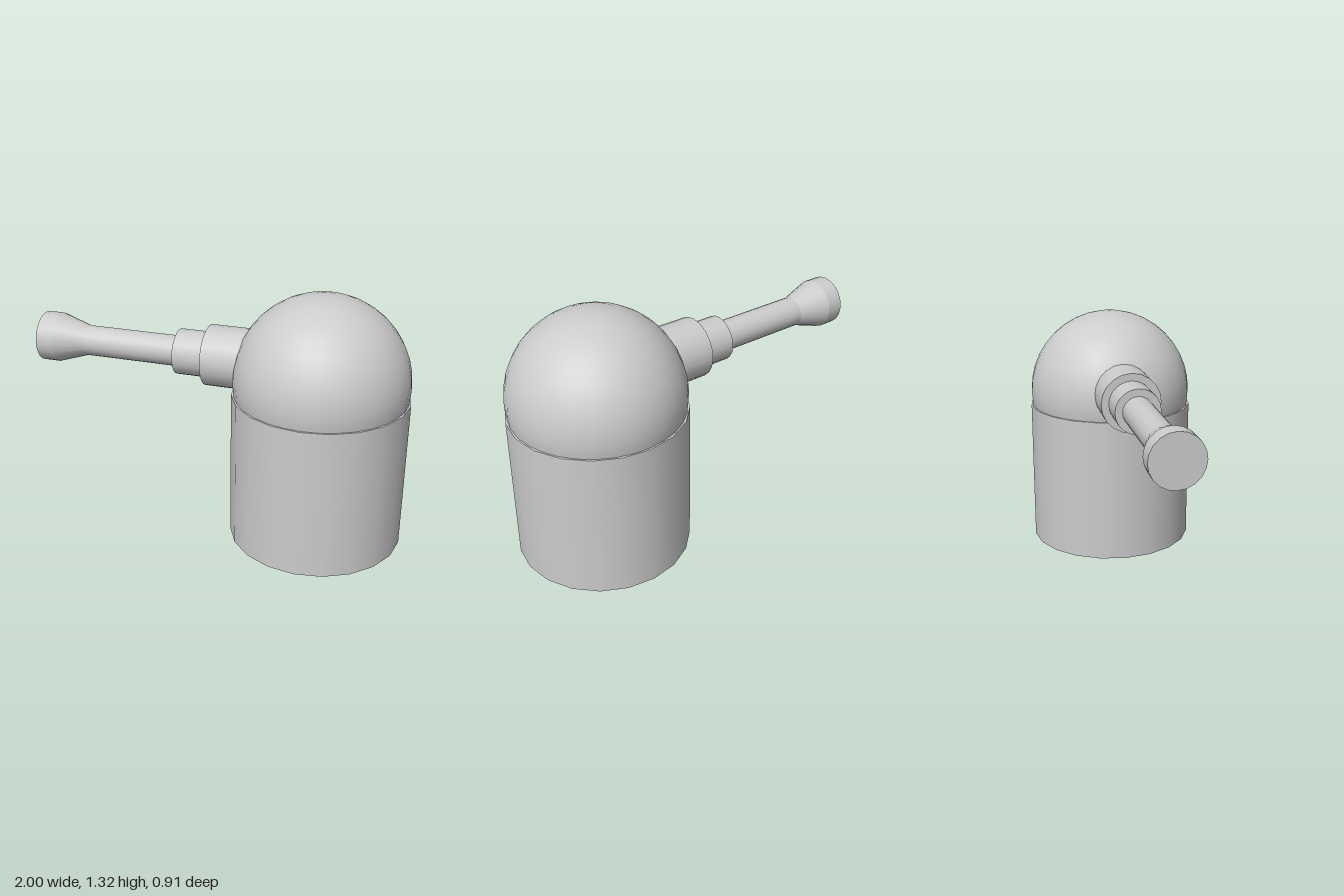
import * as THREE from 'three';

export function createModel() {
  const group = new THREE.Group();
  const material = new THREE.MeshStandardMaterial({ color: 0xcccccc });
  const SIDES = 20, BODY_X = 0.54, BARREL_Y = 0.94;

  function add(name, geometry, x, y) {
    const mesh = new THREE.Mesh(geometry, material);
    mesh.name = name;
    mesh.position.set(x, y, 0);
    group.add(mesh);
    return mesh;
  }

  // Round base and the dome seated in it
  add('base', new THREE.CylinderGeometry(0.457, 0.457, 0.795, SIDES), BODY_X, 0.3975);
  add('dome', new THREE.SphereGeometry(0.452, 32, 20), BODY_X, 0.87);

  // Barrel sections along x: name, outer x, inner x, outer radius, inner radius, open ended
  const sections = [
    ['barrelCollar', -0.06, 0.3, 0.16, 0.16, false],
    ['barrelSleeve', -0.225, -0.06, 0.12, 0.12, false],
    ['barrelTube', -0.745, -0.225, 0.081, 0.081, true],
    ['muzzleFlare', -0.91, -0.745, 0.133, 0.081, true],
    ['muzzleTip', -1, -0.91, 0.133, 0.133, false],
  ];
  for (const [name, x0, x1, r0, r1, open] of sections) {
    const geometry = new THREE.CylinderGeometry(r0, r1, x1 - x0, SIDES, 1, open);
    geometry.rotateZ(Math.PI / 2); // cylinder top points to -x
    add(name, geometry, (x0 + x1) / 2, BARREL_Y);
  }

  return group;
}
